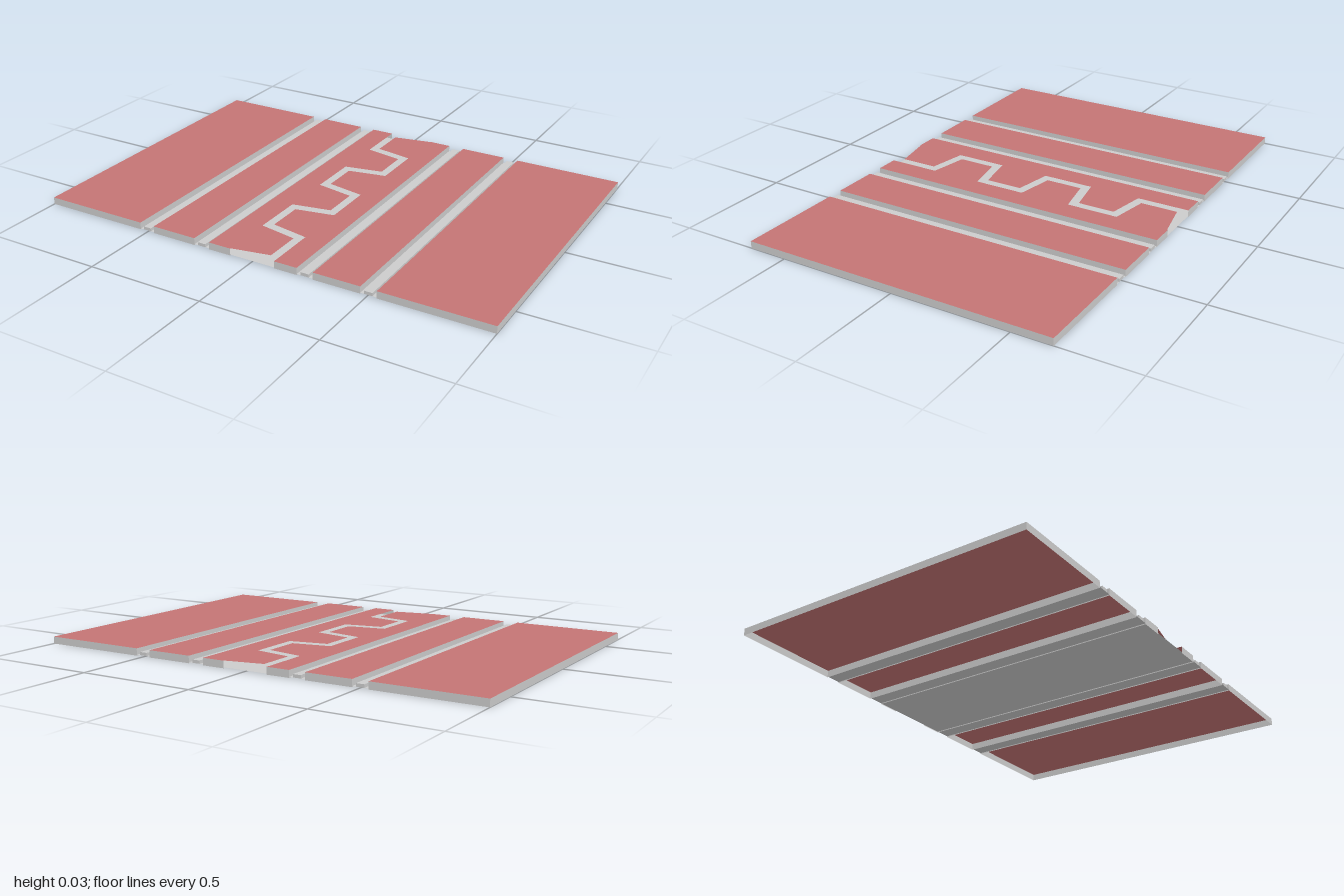
import * as THREE from 'three';

const H = 0.03, FLOOR = 0.004, HALF = 0.667;
const grey = new THREE.MeshStandardMaterial({ color: 0xcccccc, side: THREE.DoubleSide });
const red = new THREE.MeshStandardMaterial({ color: 0xc47474, side: THREE.DoubleSide });

function add(parent, name, geometry, material) {
  const mesh = new THREE.Mesh(geometry, material);
  mesh.name = name;
  parent.add(mesh);
  return mesh;
}

// Flat sheet facing up, from an outline of [x, z] points
function sheet(points, y) {
  const shape = new THREE.Shape(points.map(([x, z]) => new THREE.Vector2(x, -z)));
  return new THREE.ShapeGeometry(shape).rotateX(-Math.PI / 2).translate(0, y, 0);
}

const rect = (x0, x1) => [[x0, HALF], [x1, HALF], [x1, -HALF], [x0, -HALF]];

// Upright wall of panel height from a to b, outside on the right of the path seen from above
function wall(parent, [ax, az], [bx, bz]) {
  const length = Math.hypot(bx - ax, bz - az);
  const geometry = new THREE.PlaneGeometry(length, H)
    .rotateY(Math.atan2(-(bz - az), bx - ax))
    .translate((ax + bx) / 2, H / 2, (az + bz) / 2);
  add(parent, 'panelWall', geometry, grey);
}

// Hollow panel, open below: coloured top and four grey walls
function panel(name, x0, x1) {
  const group = new THREE.Group();
  group.name = name;
  const outline = rect(x0, x1);
  add(group, 'panelTop', sheet(outline, H), red);
  outline.forEach((p, i) => wall(group, p, outline[(i + 1) % 4]));
  return group;
}

// Middle panel whose inner edge is a row of interlocking tapered teeth
function toothedPanel(name) {
  const group = new THREE.Group();
  group.name = name;
  const edge = [[-0.1, -HALF]];
  for (const z of [-0.443, 0, 0.443]) {
    edge.push([-0.1, z], [0.065, z + 0.031], [0.065, z + 0.19], [-0.1, z + 0.221]);
  }
  add(group, 'toothedTop', sheet([[-0.2, -HALF], ...edge, [-0.1, HALF], [-0.2, HALF]], H), red);
  wall(group, [-0.2, -HALF], [-0.2, HALF]);
  wall(group, [-0.2, HALF], [-0.1, HALF]);
  wall(group, [-0.1, -HALF], [-0.2, -HALF]);
  return group;
}

export function createModel() {
  const model = new THREE.Group();
  model.name = 'jointedDeck';

  for (const turn of [0, Math.PI]) {
    const side = new THREE.Group();
    side.name = turn ? 'leftHalf' : 'rightHalf';
    side.rotation.y = turn;
    side.add(panel('outerPanel', -1, -0.537), panel('innerPanel', -0.47, -0.27), toothedPanel('toothedPanel'));

    // Groove bed and the raised strips along the two grooves
    add(side, 'grooveBed', sheet(rect(-0.537, -0.47), FLOOR), grey);
    for (const x of [-0.503, -0.235]) {
      const strip = new THREE.BoxGeometry(0.034, 0.013, 2 * HALF);
      add(side, 'grooveStrip', strip.translate(x, FLOOR + 0.0065, 0), grey);
    }
    model.add(side);
  }

  // Bed under the toothed panels and their grooves
  add(model, 'centreBed', sheet(rect(-0.27, 0.27), FLOOR), grey);
  return model;
}
